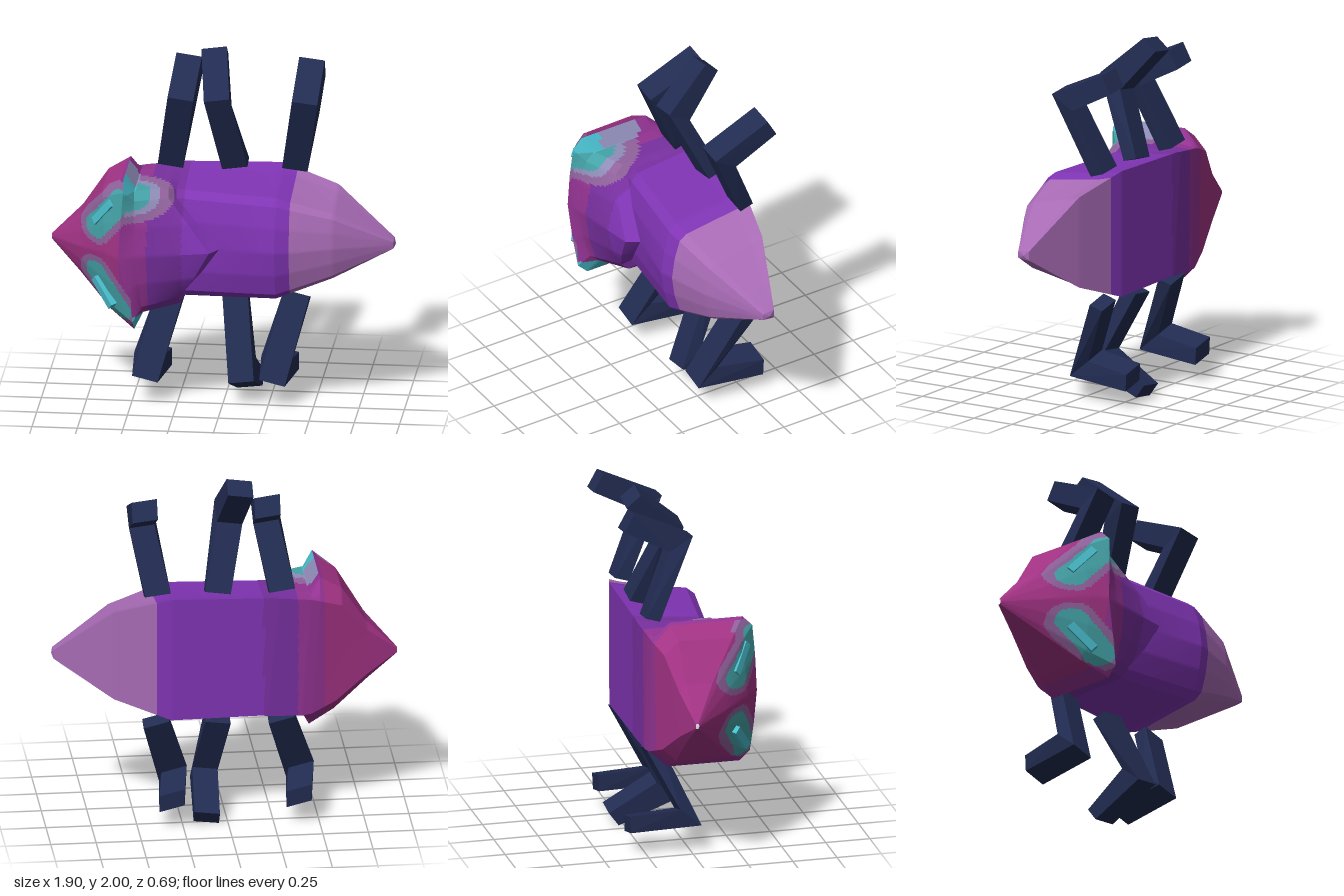
import * as THREE from 'three';
import { toCreasedNormals } from 'three/addons/utils/BufferGeometryUtils.js';
import { ConvexGeometry } from 'three/addons/geometries/ConvexGeometry.js';

const mat = (name, color) => Object.assign(new THREE.MeshStandardMaterial({ color }), { name });
const cyan = mat('cyan', 0x48bccb);
const navy = mat('navy', 0x222c52);
const skin = [
  mat('magenta', 0xa33385), mat('plum', 0x933392), mat('violet', 0x7830a0),
  mat('purple', 0x8034b4), mat('mauve', 0xa86bb5), mat('teal', 0x44a3a8),
  mat('dusky mauve', 0x90629c), mat('lilac', 0x8f8db8), cyan,
];
const [MAGENTA, PLUM, VIOLET, PURPLE, MAUVE, TEAL, DUSKY, LILAC, CYAN] = skin.keys();

// One cross-section of the shell: a closed ring of twelve points, mirrored about height cy.
// Half heights are given for back, side and front; the front bulges from corner to ridge.
function section(xSide, xRidge, cy, lean, zBack, zCorner, zRidge, hBack, hSide, hFront) {
  const depth = zCorner - zBack;
  const half = [
    [xSide, 0, zBack],
    [xSide, hBack, zBack],
    [xSide, hSide, zBack + 0.18 * depth],
    [xSide, hFront, zCorner - 0.1 * depth],
    [xSide, 0.87 * hFront, zCorner],
    [(xSide + xRidge) / 2, 0.47 * hFront, zCorner + 0.65 * (zRidge - zCorner)],
    [xRidge, 0, zRidge],
  ];
  const point = s => ([x, h, z]) => new THREE.Vector3(x + lean * s * h, cy + s * h, z);
  return [...half.map(point(1)), ...half.slice(1, 6).reverse().map(point(-1))];
}

function shellRings() {
  const rings = [
    // head
    section(-0.95, -0.95, 0.91, 0, -0.1, -0.085, -0.08, 0.01, 0.015, 0.015),
    section(-0.78, -0.78, 0.925, 0, -0.15, 0.06, 0.11, 0.13, 0.17, 0.17),
    section(-0.62, -0.62, 0.945, -0.06, -0.2, 0.23, 0.28, 0.28, 0.355, 0.35),
    section(-0.49, -0.54, 0.94, -0.07, -0.24, 0.33, 0.35, 0.33, 0.43, 0.43),
    // shield and its pointed, bevelled rim
    section(-0.44, -0.46, 0.945, -0.07, -0.25, 0.28, 0.335, 0.34, 0.35, 0.35),
    section(-0.25, -0.05, 0.96, -0.1, -0.265, 0.2, 0.28, 0.345, 0.34, 0.33),
    section(-0.22, 0, 0.965, -0.08, -0.265, 0.145, 0.213, 0.345, 0.335, 0.305),
    // abdomen
    section(0.31, 0.31, 0.967, 0, -0.265, 0.215, 0.27, 0.355, 0.335, 0.29),
    section(0.62, 0.62, 0.975, 0, -0.19, 0.15, 0.18, 0.255, 0.235, 0.185),
    section(0.94, 0.94, 0.95, 0, -0.07, 0, 0, 0.025, 0.025, 0.02),
  ];
  // close the tail
  rings.push(rings[0].map(() => new THREE.Vector3(0.95, 0.95, -0.04)));
  return rings;
}

// Colour of the shell at a point
const eyeLine = new THREE.Line3(new THREE.Vector3(-0.68, 0.13, 0), new THREE.Vector3(-0.53, 0.32, 0));
function shellColour({ x, y, z }) {
  const dy = y - 0.943, h = Math.abs(dy);
  const upright = x + 0.07 * dy;
  // eye patches on the face
  if (upright < -0.492 && z > 0.27 + 0.75 * (x + 0.49)) {
    const p = new THREE.Vector3(x, h, 0);
    const d = eyeLine.closestPointToPoint(p, true, new THREE.Vector3()).distanceTo(p);
    if (d < 0.06) return TEAL;
    if (d < 0.095) return DUSKY;
  }
  // flared collar
  if (upright > -0.492 && upright < -0.43 && h > 0.35) {
    if (z > 0.17) return CYAN;
    if (z > -0.07) return LILAC;
  }
  // shoulder patch on the upper side of the shield
  if (upright > -0.492 && dy > 0.15) {
    const d = Math.hypot(x + 0.48, 2 * Math.max(0, 1.25 - y), Math.max(0, 0.2 - z));
    if (d < 0.1) return TEAL;
    if (d < 0.155) return LILAC;
    if (d < 0.235) return DUSKY;
  }
  return x < -0.54 ? MAGENTA : x < -0.39 ? PLUM : x < -0.2 ? VIOLET : x < 0.39 ? PURPLE : MAUVE;
}

// Shell: straight loft through the sections, finely divided, faces sorted by colour
function shellGeometry() {
  const NU = 24, NV = 12;
  const fine = shellRings().map(r => r.flatMap((a, i) =>
    Array.from({ length: NV }, (_, k) => a.clone().lerp(r[(i + 1) % r.length], k / NV))));
  const rows = [];
  for (let i = 0; i < fine.length - 1; i++)
    for (let k = 0; k < NU; k++) rows.push(fine[i].map((a, j) => a.clone().lerp(fine[i + 1][j], k / NU)));
  rows.push(fine[fine.length - 1]);

  const buckets = skin.map(() => []);
  for (let i = 0; i < rows.length - 1; i++) {
    const n = rows[i].length;
    for (let j = 0; j < n; j++) {
      const a = rows[i][j], b = rows[i][(j + 1) % n], c = rows[i + 1][j], d = rows[i + 1][(j + 1) % n];
      const mid = a.clone().add(b).add(c).add(d).multiplyScalar(0.25);
      const out = buckets[shellColour(mid)];
      for (const v of [a, b, c, b, d, c]) out.push(v.x, v.y, v.z);
    }
  }
  const geo = new THREE.BufferGeometry();
  geo.setAttribute('position', new THREE.Float32BufferAttribute(buckets.flat(), 3));
  let start = 0;
  buckets.forEach((b, i) => {
    if (b.length) geo.addGroup(start, b.length / 3, i);
    start += b.length / 3;
  });
  return toCreasedNormals(geo, 0.4);
}

// Leg: three joints, each a bar across x with an outer and inner edge [y, z];
// slant tilts the bars to one side
function makeLeg(name, slant, xs, joints) {
  const leg = new THREE.Group();
  leg.name = name;
  const bars = joints.map((edges, i) => edges.flatMap(([y, z]) =>
    [-0.07, 0.07].map(w => new THREE.Vector3(xs[i] + w, y + slant * w, z))));
  ['thigh', 'shin'].forEach((part, i) => {
    const mesh = new THREE.Mesh(new ConvexGeometry([...bars[i], ...bars[i + 1]]), navy);
    mesh.name = part;
    leg.add(mesh);
  });
  return leg;
}

export function createModel() {
  const model = new THREE.Group();
  model.name = 'beetle';

  const shell = new THREE.Mesh(shellGeometry(), skin);
  shell.name = 'shell';
  model.add(shell);

  // Slanted eye slabs
  for (const s of [1, -1]) {
    const along = new THREE.Vector3(0.12, 0.16 * s, 0.1).normalize();
    const out = new THREE.Vector3(-0.68, 0.2 * s, 0.7);
    out.addScaledVector(along, -out.dot(along)).normalize();
    const across = out.clone().cross(along);
    const eye = new THREE.Mesh(new THREE.BoxGeometry(0.19, 0.045, 0.05), cyan);
    eye.name = s > 0 ? 'upperEye' : 'lowerEye';
    eye.quaternion.setFromRotationMatrix(new THREE.Matrix4().makeBasis(along, across, out));
    eye.position.set(-0.625, 0.938 + s * 0.23, 0.23);
    model.add(eye);
  }

  // Upper legs
  const upHip = [[1.315, -0.155], [1.34, -0.235]], upKnee = [[1.77, 0.05], [1.69, -0.08]];
  const upFoot = [[1.92, -0.28], [1.82, -0.335]], upFootHigh = [[1.99, -0.205], [1.925, -0.285]];
  model.add(
    makeLeg('upperFrontLeg', -0.14, [-0.305, -0.23, -0.215], [upHip, upKnee, upFoot]),
    makeLeg('upperMiddleLeg', 0.14, [0.05, -0.03, -0.07], [upHip, upKnee, upFootHigh]),
    makeLeg('upperRearLeg', -0.12, [0.38, 0.455, 0.462], [upHip, upKnee, upFoot]),
  );

  // Lower legs
  const lowHip = [[0.6, -0.155], [0.575, -0.235]], lowKnee = [[0.145, 0.05], [0.245, -0.07]];
  const lowFoot = [[0.12, -0.34], [0.215, -0.345]], lowFootDeep = [[0.01, -0.28], [0.085, -0.335]];
  model.add(
    makeLeg('lowerFrontLeg', -0.25, [-0.3, -0.425, -0.385], [lowHip, lowKnee, lowFoot]),
    makeLeg('lowerMiddleLeg', 0.12, [0.05, 0.105, 0.12], [lowHip, lowKnee, lowFootDeep]),
    makeLeg('lowerRearLeg', -0.25, [0.39, 0.275, 0.315], [lowHip, lowKnee, lowFoot]),
  );
  return model;
}
